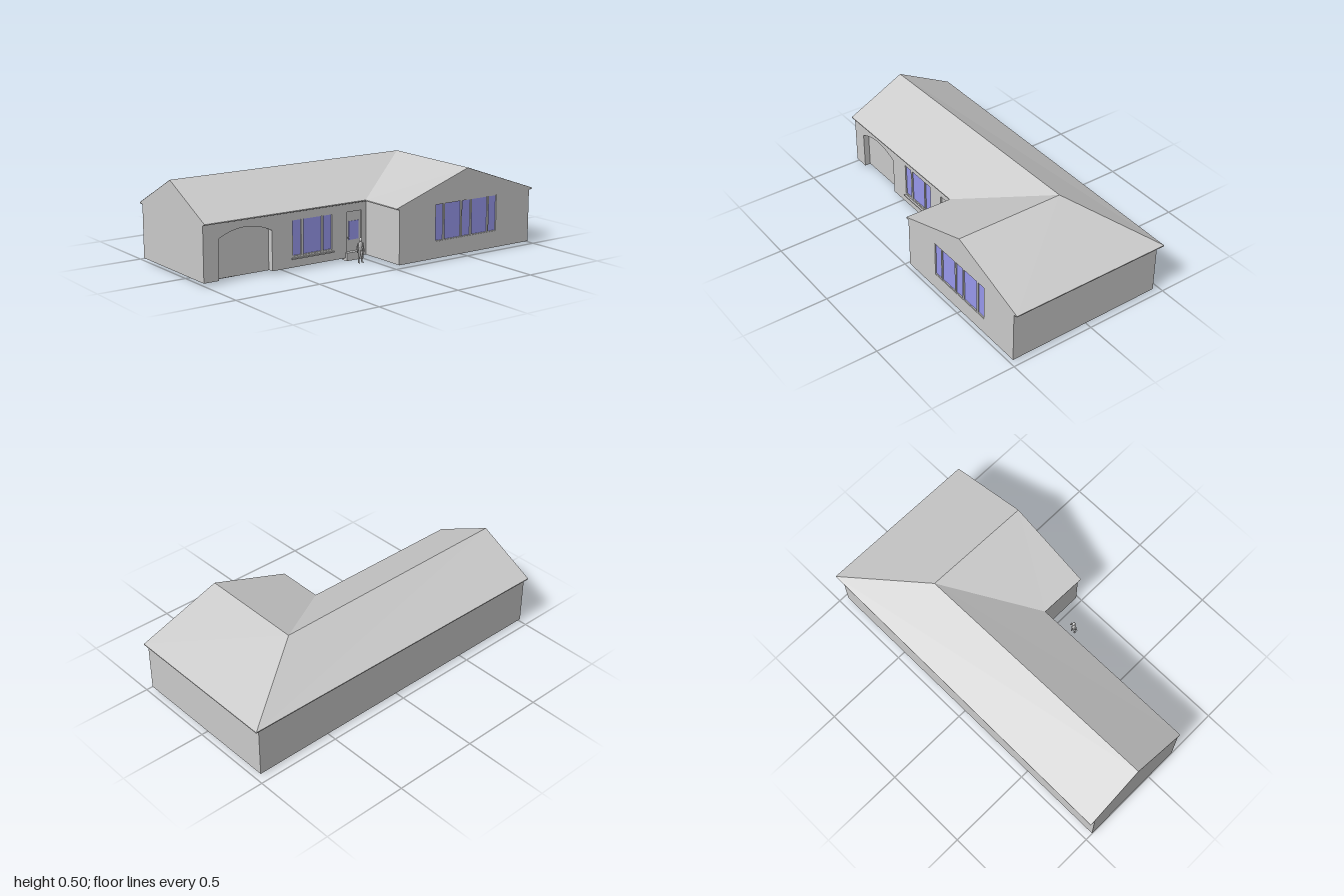
import * as THREE from 'three';

const grey = new THREE.MeshStandardMaterial({ color: 0xcccccc, side: THREE.DoubleSide });
const flat = new THREE.MeshStandardMaterial({ color: 0xcccccc, side: THREE.DoubleSide, flatShading: true });
const glass = new THREE.MeshStandardMaterial({ color: 0x9999ee, side: THREE.DoubleSide });

const BASE = 0.015, EAVE = 0.316, T = 0.035; // floor level, wall top, wall thickness
const EAST = 0.19, WING = 0.485;             // outer faces of the two window walls

function add(parent, name, geometry, material = grey) {
  const mesh = new THREE.Mesh(geometry, material);
  mesh.name = name;
  parent.add(mesh);
  return mesh;
}

// Box given by its limits on each axis
function box(parent, name, [x0, x1], [y0, y1], [z0, z1], material = grey) {
  const g = new THREE.BoxGeometry(x1 - x0, y1 - y0, z1 - z0);
  g.translate((x0 + x1) / 2, (y0 + y1) / 2, (z0 + z1) / 2);
  return add(parent, name, g, material);
}

const polygon = (pts) => new THREE.Shape(pts.map(([x, y]) => new THREE.Vector2(x, y)));
const rect = (z0, z1, y0, y1) => polygon([[-z1, y0], [-z0, y0], [-z0, y1], [-z1, y1]]);

// Wall facing +x, drawn in (-z, y)
function sideWall(parent, name, shape, faceX) {
  const g = new THREE.ExtrudeGeometry(shape, { depth: T, bevelEnabled: false, curveSegments: 16 });
  g.rotateY(Math.PI / 2).translate(faceX - T, 0, 0);
  return add(parent, name, g);
}

// Flat quads from lists of four corners
function quads(list) {
  const pos = list.flatMap(([a, b, c, d]) => [a, b, c, a, c, d].flat());
  const g = new THREE.BufferGeometry();
  g.setAttribute('position', new THREE.Float32BufferAttribute(pos, 3));
  g.computeVertexNormals();
  return g;
}

// Row of panes set into a wall, with posts between them; panes are [zHigh, zLow]
function windowUnit(parent, name, faceX, y0, y1, panes) {
  const unit = new THREE.Group();
  unit.name = name;
  parent.add(unit);
  panes.forEach(([z1, z0], i) => {
    box(unit, 'glassPane', [faceX - 0.014, faceX - 0.008], [y0, y1], [z0, z1], glass);
    for (const y of [y0, y1 - 0.004])
      box(unit, 'paneRail', [faceX - 0.016, faceX - 0.002], [y, y + 0.004], [z0, z1]);
    if (i > 0) box(unit, 'post', [faceX - 0.018, faceX - 0.001], [y0, y1], [z1, panes[i - 1][1]]);
  });
}

function buildWalls(house) {
  // Front gable
  const front = new THREE.ExtrudeGeometry(polygon([
    [-0.455, BASE], [EAST, BASE], [EAST, EAVE], [0.21, 0.325], [-0.14, 0.499], [-0.485, 0.321], [-0.455, EAVE],
  ]), { depth: T, bevelEnabled: false });
  add(house, 'frontGable', front.translate(0, 0, 1 - T));

  // Long wall with archway, window and door openings
  const long = new THREE.Shape();
  long.moveTo(-1, BASE);
  long.lineTo(-0.91, BASE);
  long.lineTo(-0.91, 0.235);
  long.quadraticCurveTo(-0.7475, 0.319, -0.585, 0.235);
  long.lineTo(-0.585, BASE);
  long.lineTo(0.03, BASE);
  long.lineTo(0.03, EAVE);
  long.lineTo(-1, EAVE);
  long.holes.push(rect(0.2, 0.455, 0.075, 0.275), rect(0, 0.1, 0.045, 0.27));
  sideWall(house, 'archWall', long, EAST);

  // Gable of the short wing
  const gable = polygon([
    [0.03, BASE], [0.97, BASE], [0.97, EAVE], [0.995, 0.325], [0.505, 0.494], [0.01, 0.325], [0.03, EAVE],
  ]);
  gable.holes.push(rect(-0.72, -0.28, 0.11, 0.318));
  sideWall(house, 'wingGable', gable, WING);

  // Plain walls
  box(house, 'returnWall', [EAST - T, WING], [BASE, EAVE], [-0.03 - T, -0.03]);
  box(house, 'backWall', [-0.455, WING], [BASE, EAVE], [-0.97, -0.97 + T]);
  box(house, 'leftWall', [-0.455, -0.455 + T], [BASE, EAVE], [-0.97, 1]);

  // L-shaped floor, notched under the arch
  const floor = new THREE.ShapeGeometry(polygon([
    [-0.455, -1], [EAST, -1], [EAST, -0.91], [EAST - T, -0.91], [EAST - T, -0.585], [EAST, -0.585],
    [EAST, 0.03], [WING, 0.03], [WING, 0.97], [-0.455, 0.97],
  ]));
  add(house, 'floor', floor.rotateX(-Math.PI / 2).translate(0, BASE, 0));
}

function buildRoof(house) {
  const ridgeFront = [-0.14, 0.5, 1], ridgeCorner = [-0.155, 0.5, -0.515], ridgeEnd = [WING, 0.495, -0.505];
  const leftFront = [-0.485, 0.322, 1], hip = [-0.475, 0.325, -1], backEnd = [WING, 0.325, -0.995];
  const rightFront = [0.21, 0.326, 1], valley = [0.205, 0.326, -0.015], innerEnd = [WING, 0.326, -0.01];
  add(house, 'roof', quads([
    [leftFront, ridgeFront, ridgeCorner, hip].reverse(),
    [hip, ridgeCorner, ridgeEnd, backEnd].reverse(),
    [rightFront, valley, ridgeCorner, ridgeFront],
    [valley, innerEnd, ridgeEnd, ridgeCorner],
  ]), flat);

  // Fascia and soffit along both eaves
  const eaves = [
    [[leftFront, hip, backEnd], [[-0.455, 1], [-0.455, -0.97], [WING, -0.97]]],
    [[rightFront, valley, innerEnd], [[EAST, 1], [EAST, -0.03], [WING, -0.03]]],
  ];
  const trim = [];
  for (const [edge, wall] of eaves) {
    const low = edge.map(([x, y, z]) => [x, y - 0.006, z]);
    const inner = wall.map(([x, z]) => [x, EAVE - 0.001, z]);
    for (let i = 0; i < 2; i++) {
      trim.push([edge[i], edge[i + 1], low[i + 1], low[i]]);
      trim.push([low[i], low[i + 1], inner[i + 1], inner[i]]);
    }
  }
  add(house, 'eaves', quads(trim), flat);
}

function buildOpenings(house) {
  // Panel and threshold behind the arch
  box(house, 'archPanel', [EAST - T - 0.006, EAST - T], [BASE, 0.3], [0.57, 0.925]);
  box(house, 'threshold', [0.13, 0.149], [0.012, 0.017], [0.56, 0.93]);

  windowUnit(house, 'livingWindow', EAST, 0.075, 0.275, [[0.455, 0.4], [0.386, 0.266], [0.256, 0.2]]);
  windowUnit(house, 'wingWindow', WING, 0.11, 0.318,
    [[-0.28, -0.335], [-0.345, -0.46], [-0.47, -0.53], [-0.54, -0.655], [-0.665, -0.72]]);
  box(house, 'windowSill', [EAST - 0.01, 0.2], [0.06, 0.067], [0.19, 0.465]);

  // Door with a pane and knob, and its step
  box(house, 'door', [EAST - 0.025, EAST - 0.012], [0.045, 0.27], [0, 0.1]);
  box(house, 'doorGlass', [EAST - 0.02, EAST - 0.01], [0.11, 0.215], [0.015, 0.08], glass);
  const knob = add(house, 'doorKnob', new THREE.SphereGeometry(0.005, 10, 8));
  knob.position.set(EAST - 0.002, 0.127, 0.09);
  box(house, 'doorStepBase', [0.162, 0.203], [0, 0.017], [-0.005, 0.11]);
  box(house, 'doorStep', [0.183, 0.203], [0.015, 0.045], [-0.005, 0.11]);
}

// Standing figure facing +x
function buildFigure() {
  const figure = new THREE.Group();
  figure.name = 'figure';
  const limb = (name, a, b, r) => {
    const p = new THREE.Vector3(...a), d = new THREE.Vector3(...b).sub(p);
    const m = add(figure, name, new THREE.CapsuleGeometry(r, d.length(), 3, 8));
    m.position.copy(p).addScaledVector(d, 0.5);
    m.quaternion.setFromUnitVectors(new THREE.Vector3(0, 1, 0), d.normalize());
    return m;
  };
  const torso = [[0, 0.064], [0.011, 0.067], [0.009, 0.085], [0.012, 0.108], [0.006, 0.116], [0.004, 0.122]];
  const body = add(figure, 'torso', new THREE.LatheGeometry(torso.map(([r, y]) => new THREE.Vector2(r, y)), 12));
  body.scale.set(0.75, 1, 1.2);
  const head = add(figure, 'head', new THREE.SphereGeometry(0.01, 12, 8));
  head.scale.set(0.95, 1.15, 0.8);
  head.position.set(0.001, 0.128, 0);
  for (const s of [-1, 1]) {
    limb('thigh', [0, 0.066, s * 0.007], [0.002, 0.038, s * 0.009], 0.006);
    limb('shin', [0.002, 0.036, s * 0.009], [-0.001, 0.006, s * 0.011], 0.004);
    limb('foot', [-0.001, 0.003, s * 0.011], [0.011, 0.003, s * 0.013], 0.003);
    limb('upperArm', [0, 0.108, s * 0.016], [-0.002, 0.085, s * 0.021], 0.0035);
    limb('forearm', [-0.002, 0.085, s * 0.021], [0.005, 0.062, s * 0.023], 0.003);
  }
  figure.position.set(0.319, BASE, 0.105);
  return figure;
}

export function createModel() {
  const house = new THREE.Group();
  house.name = 'house';
  buildWalls(house);
  buildRoof(house);
  buildOpenings(house);
  house.add(buildFigure());
  return house;
}
